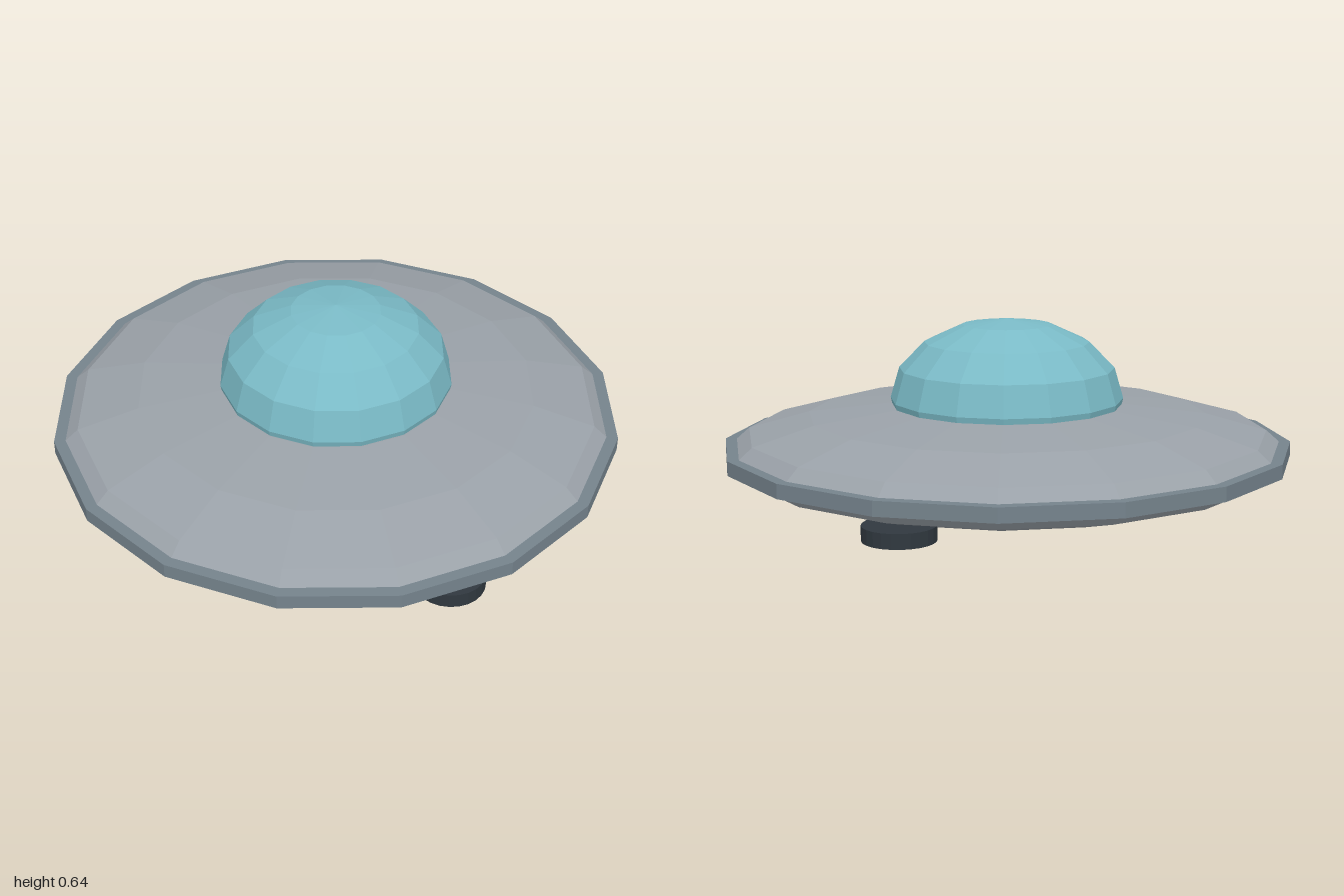
import * as THREE from 'three';

const flat = (name, color) => {
  const m = new THREE.MeshStandardMaterial({ color, flatShading: true });
  m.name = name;
  return m;
};

export function createModel() {
  const model = new THREE.Group();
  model.name = 'flyingSaucer';

  const hullGrey = flat('hullGrey', 0x9aa1a8);
  const rimGrey = flat('rimGrey', 0x75838c);
  const glassTeal = flat('glassTeal', 0x7abac6);
  const padDark = flat('padDark', 0x30383f);

  const add = (name, geometry, material, x = 0, y = 0, z = 0) => {
    const mesh = new THREE.Mesh(geometry, material);
    mesh.name = name;
    mesh.position.set(x, y, z);
    model.add(mesh);
    return mesh;
  };

  // Sixteen-sided turned shape from [radius, height] pairs, bottom to top
  const turned = (profile) =>
    new THREE.LatheGeometry(profile.map(([r, y]) => new THREE.Vector2(r, y)), 16);

  // Saucer body
  add('lowerHull', turned([[0, 0.01], [0.38, 0.016], [0.7, 0.055], [0.915, 0.115], [0.96, 0.155]]), hullGrey);
  add('upperHull', turned([[0.96, 0.205], [0.915, 0.245], [0.7, 0.305], [0.41, 0.338], [0, 0.345]]), hullGrey);
  add('rim', turned([[0.9, 0.155], [1, 0.155], [1, 0.205], [0.9, 0.205]]), rimGrey);

  // Glass dome: flattened half sphere, tucking in slightly where it meets the hull
  const dome = [[0.405, 0.335], [0.41, 0.358]];
  for (let i = 1; i <= 4; i++) {
    const a = (i * Math.PI) / 8;
    dome.push([i === 4 ? 0 : 0.41 * Math.cos(a), 0.358 + 0.282 * Math.sin(a)]);
  }
  add('dome', turned(dome), glassTeal);

  // Round glowing plate under the belly
  add('bellyPlate', new THREE.CylinderGeometry(0.24, 0.24, 0.014, 32), glassTeal, 0, 0.007, 0);

  // Three landing pads, evenly spaced with one at the back
  for (let i = 0; i < 3; i++) {
    const a = Math.PI / 6 + (i * Math.PI * 2) / 3;
    add('landingPad' + (i + 1), new THREE.CylinderGeometry(0.12, 0.12, 0.05, 24), padDark,
      0.825 * Math.cos(a), 0.065, 0.825 * Math.sin(a));
  }

  return model;
}
